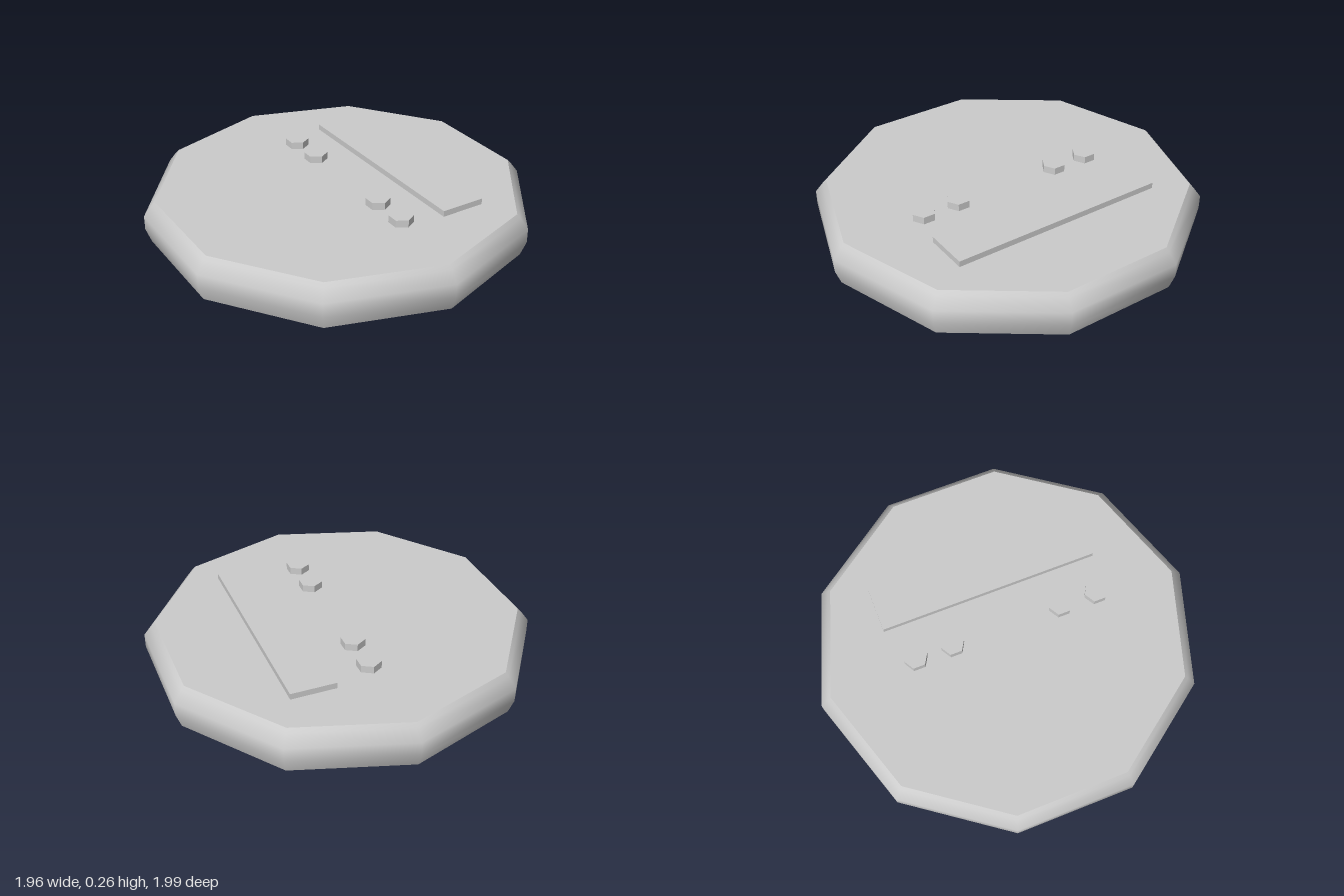
import * as THREE from 'three';

const deg = THREE.MathUtils.degToRad;

export function createModel() {
  const model = new THREE.Group();
  const grey = new THREE.MeshStandardMaterial({ color: 0xcccccc });
  grey.name = 'light grey';

  const add = (parent, name, geometry, x = 0, y = 0, z = 0) => {
    const mesh = new THREE.Mesh(geometry, grey);
    mesh.name = name;
    mesh.position.set(x, y, z);
    parent.add(mesh);
    return mesh;
  };

  // Ten-sided disc: a softly rounded rim closed by two flat caps
  const SIDES = 10, TOP = 0.222, TOP_R = 0.94, BOTTOM_R = 0.973;
  const disc = new THREE.Group();
  disc.name = 'disc';
  disc.rotation.y = deg(6);
  model.add(disc);

  const profile = [[BOTTOM_R, 0], [1, 0.075], [1, 0.148], [0.958, 0.203], [TOP_R, TOP]]
    .map(([r, y]) => new THREE.Vector2(r, y));
  add(disc, 'rim', new THREE.LatheGeometry(profile, SIDES));
  add(disc, 'topFace', new THREE.CircleGeometry(TOP_R, SIDES, deg(-90)).rotateX(deg(-90)), 0, TOP);
  add(disc, 'bottomFace', new THREE.CircleGeometry(BOTTOM_R, SIDES, deg(-90)).rotateX(deg(90)));

  // Raised details share one slightly turned axis
  const details = new THREE.Group();
  details.name = 'details';
  details.rotation.y = deg(-12);
  model.add(details);

  add(details, 'plate', new THREE.BoxGeometry(1.165, 0.05, 0.235), 0.007, 0.228, -0.352);

  // Two pairs of six-sided studs, with flat-shaded sides
  const studGeometry = new THREE.CylinderGeometry(0.062, 0.062, 0.06, 6, 1, false, deg(30)).toNonIndexed();
  studGeometry.computeVertexNormals();
  for (const offset of [-0.495, -0.296, 0.296, 0.495]) {
    add(details, 'stud', studGeometry, 0.023 + offset, 0.23, -0.032);
  }

  return model;
}
